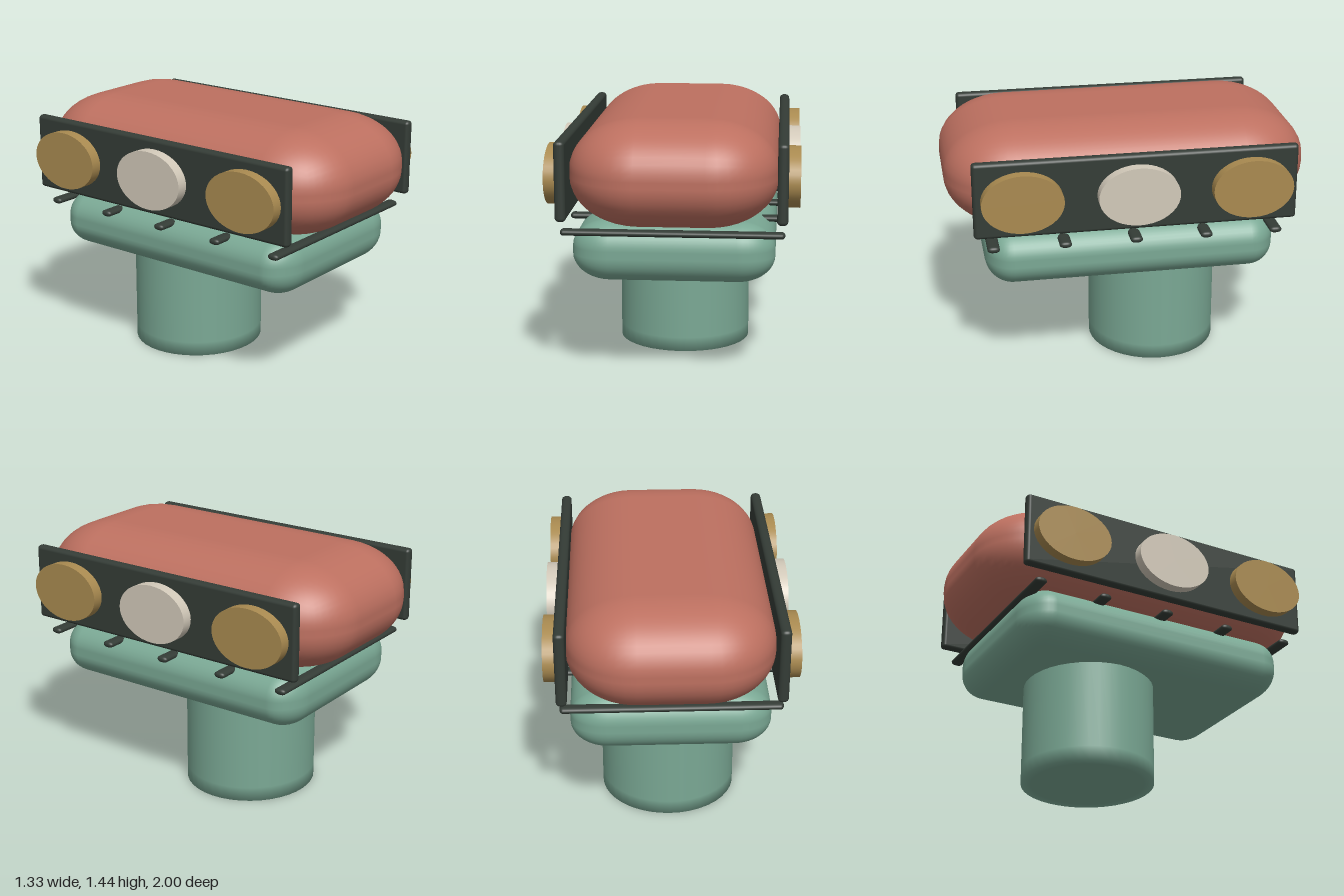
import * as THREE from 'three';
import { RoundedBoxGeometry } from 'three/addons/geometries/RoundedBoxGeometry.js';

const paint = (color) => new THREE.MeshStandardMaterial({ color });
const RED = paint(0xbd7060), TEAL = paint(0x7aa894), DARK = paint(0x343c36);
const GOLD = paint(0xa98a50), CREAM = paint(0xd2c9b9);

// Box whose corners are rounded by a different radius along each axis
function softBox(size, radii, segments) {
  const [w, h, d] = size.map((s, i) => s / radii[i]);
  return new RoundedBoxGeometry(w, h, d, segments, 1).scale(...radii);
}

export function createModel() {
  const model = new THREE.Group();
  const add = (name, geometry, material, x, y, z) => {
    const mesh = new THREE.Mesh(geometry, material);
    mesh.name = name;
    mesh.position.set(x, y, z);
    model.add(mesh);
    return mesh;
  };

  // Oval post, set back from the centre, with softly shaded bottom rim
  const profile = [[0, 0], [0.32, 0], [0.38, 0], [0.38, 0.08], [0.38, 0.62]]
    .map(([r, y]) => new THREE.Vector2(r, y));
  const post = new THREE.LatheGeometry(profile, 40).scale(1, 1, 0.365 / 0.38);
  add('post', post, TEAL, 0, 0, -0.19);

  // Cushioned tray and the large pillow-shaped body resting in it
  add('tray', softBox([1.08, 0.33, 1.61], [0.2, 0.145, 0.15], 6), TEAL, 0, 0.735, 0);
  add('body', softBox([1.11, 0.575, 2], [0.37, 0.27, 0.38], 6), RED, 0, 1.1525, 0);

  // Thin cross bars between tray and body
  const bar = softBox([1.18, 0.035, 0.066], [0.018, 0.0165, 0.028], 4);
  for (let i = -2; i <= 2; i++) add('crossBar', bar, DARK, 0, 0.852, i * 0.385);

  // Side panels, each carrying three oval discs
  const panel = softBox([0.057, 0.425, 1.745], [0.026, 0.02, 0.02], 4);
  const disc = new THREE.CylinderGeometry(1, 1, 0.08, 40)
    .rotateZ(-Math.PI / 2).scale(1, 0.161, 0.218);
  for (const side of [-1, 1]) {
    add('sidePanel', panel, DARK, side * 0.575, 1.1375, 0);
    for (const i of [-1, 0, 1]) {
      add(i ? 'outerDisc' : 'middleDisc', disc, i ? GOLD : CREAM, side * 0.625, 1.136, i * 0.616);
    }
  }
  return model;
}
